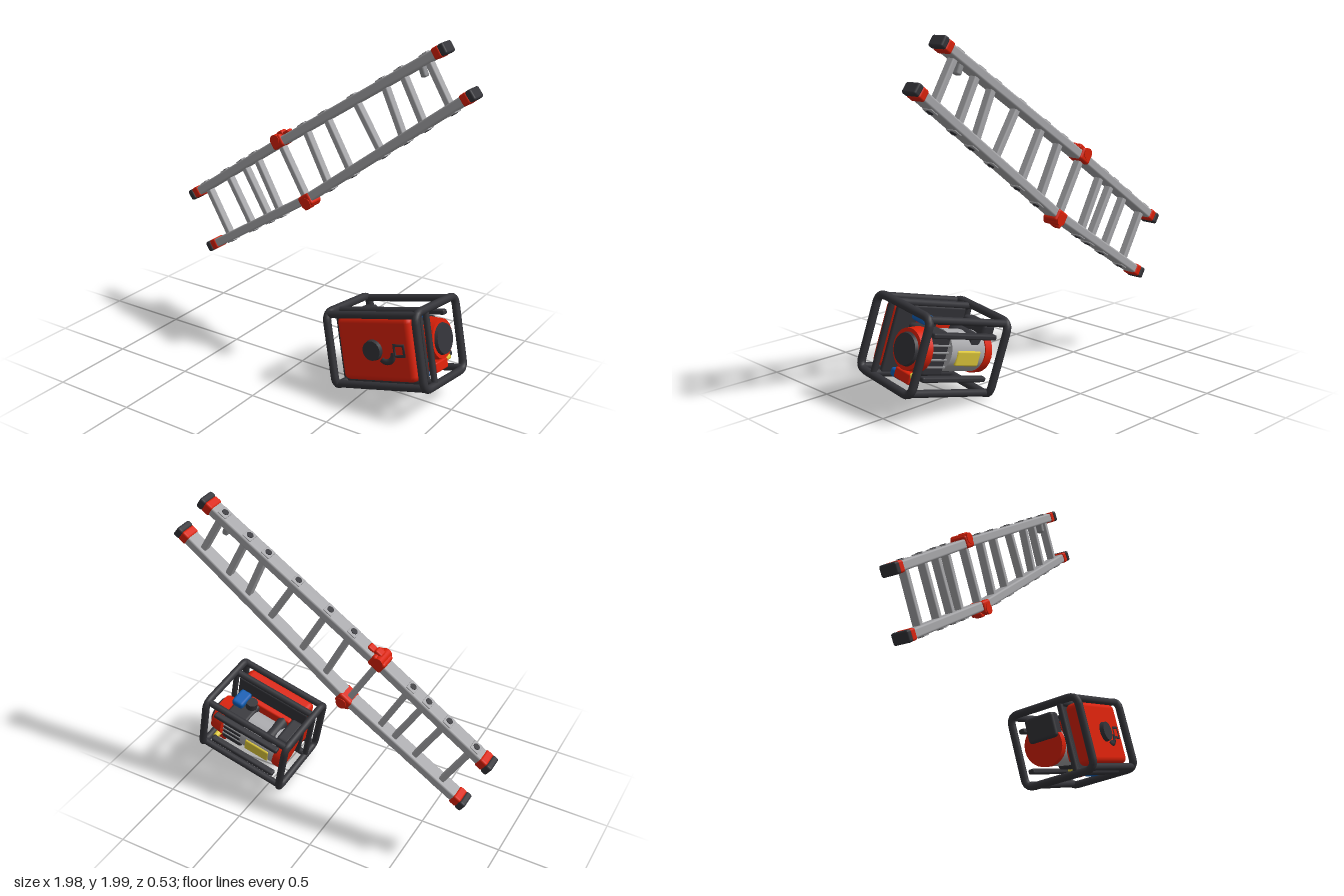
import * as THREE from 'three';
import { RoundedBoxGeometry } from 'three/addons/geometries/RoundedBoxGeometry.js';

const V = (x, y, z = 0) => new THREE.Vector3(x, y, z);
const mat = (name, color) => {
  const m = new THREE.MeshStandardMaterial({ color });
  m.name = name;
  return m;
};

export function createModel() {
  const M = {
    aluminium: mat('aluminium', 0xa6a6a9),
    red: mat('red', 0xd82008),
    dark: mat('dark grey', 0x333338),
    blue: mat('blue', 0x0f5cb0),
    yellow: mat('yellow', 0xdcc63a),
    steel: mat('steel', 0x8c8d90),
  };
  const root = new THREE.Group();

  const add = (parent, name, geo, material, x = 0, y = 0, z = 0) => {
    const m = new THREE.Mesh(geo, material);
    m.name = name;
    m.position.set(x, y, z);
    parent.add(m);
    return m;
  };
  const box = (p, name, m, w, h, d, x, y, z, r = 0.01) =>
    add(p, name, new RoundedBoxGeometry(w, h, d, 2, Math.min(r, w / 2.1, h / 2.1, d / 2.1)), m, x, y, z);
  const cyl = (p, name, m, r, len, x, y, z, axis = 'y', r2 = r) => {
    const c = add(p, name, new THREE.CylinderGeometry(r2, r, len, 24), m, x, y, z);
    if (axis === 'x') c.rotation.z = -Math.PI / 2;
    if (axis === 'z') c.rotation.x = Math.PI / 2;
    return c;
  };
  // Box laid along the line from a to b in the ladder plane
  const beam = (p, name, m, a, b, h, d, r = 0.012) => {
    const c = a.clone().add(b).multiplyScalar(0.5);
    const o = box(p, name, m, a.distanceTo(b), h, d, c.x, c.y, c.z, r);
    o.rotation.z = Math.atan2(b.y - a.y, b.x - a.x);
    return o;
  };

  // ---------- Ladder: two tapering halves joined at hinges ----------
  const ladder = new THREE.Group();
  ladder.name = 'ladder';
  ladder.position.z = -0.213;
  root.add(ladder);
  const upper = [V(-0.98, 0.803), V(-0.295, 1.268), V(0.775, 1.965)];
  const lower = [V(-0.85, 0.48), V(-0.1, 0.955), V(0.948, 1.745)];
  const onRail = (r, x) => {
    const i = x < r[1].x ? 0 : 1;
    return r[i].clone().lerp(r[i + 1], (x - r[i].x) / (r[i + 1].x - r[i].x));
  };
  for (const [rail, side] of [[upper, 1], [lower, -1]]) {
    for (const end of [rail[0], rail[2]]) {
      const dir = rail[1].clone().sub(end).normalize();
      const at = (t) => end.clone().addScaledVector(dir, t);
      beam(ladder, 'rail', M.aluminium, at(0.03), rail[1], 0.055, 0.088);
      beam(ladder, 'endSleeve', M.red, at(0.035), at(0.085), 0.066, 0.098);
      beam(ladder, 'rubberFoot', M.dark, at(0), at(0.04), 0.066, 0.104);
    }
    // Locking hinge with knob and lever
    const hinge = new THREE.Group();
    hinge.name = 'hinge';
    hinge.position.copy(rail[1]);
    hinge.rotation.z = 0.59;
    ladder.add(hinge);
    box(hinge, 'hingeBody', M.red, 0.09, 0.075, 0.104, 0, side * 0.008, 0, 0.015);
    cyl(hinge, 'hingePivot', M.red, 0.032, 0.112, 0, side * 0.024, 0, 'z');
    box(hinge, 'hingeLatch', M.red, 0.05, 0.03, 0.05, side * 0.03, side * 0.045, 0);
    if (side > 0) box(hinge, 'hingeLever', M.red, 0.045, 0.018, 0.045, 0.075, 0.035, 0);
  }
  // Rungs, with end brackets and plugs on the outside of both rails
  const ux = [-0.864, -0.7, -0.575, -0.48, -0.3, -0.123, 0.02, 0.213, 0.395, 0.507, 0.656];
  const lx = [-0.688, -0.517, -0.39, -0.304, -0.112, 0.043, 0.192, 0.389, 0.528, 0.65, 0.805];
  ux.forEach((x, i) => {
    const a = onRail(upper, x), b = onRail(lower, lx[i]);
    beam(ladder, 'rung', M.aluminium, a, b, 0.036, 0.05, 0.008);
    if (i === 4) return;
    for (const [r, p, side] of [[upper, a, 1], [lower, b, -1]]) {
      const s = p.x < r[1].x ? 0 : 1;
      const g = new THREE.Group();
      g.name = 'rungEnd';
      g.position.copy(p);
      g.rotation.z = Math.atan2(r[s + 1].y - r[s].y, r[s + 1].x - r[s].x);
      ladder.add(g);
      box(g, 'bracket', M.aluminium, 0.055, 0.01, 0.07, 0, side * 0.028, 0, 0.003);
      cyl(g, 'plug', M.dark, 0.019, 0.012, 0, side * 0.03, 0);
    }
  });
  const stub = onRail(upper, 0.615);
  beam(ladder, 'hook', M.steel, stub, V(0.645, 1.785), 0.035, 0.045);

  // ---------- Generator lying tilted, tank facing forward ----------
  const gen = new THREE.Group();
  gen.name = 'generator';
  gen.position.set(0.632, 0.313, 0);
  gen.rotation.set(-0.122, 0, 0.253, 'ZYX');
  root.add(gen);

  // Tubular frame: rounded side loops joined by cross bars
  const loopCurve = (hy, hz, r) => {
    const path = new THREE.CurvePath();
    const corners = [[1, 1], [1, -1], [-1, -1], [-1, 1]];
    corners.forEach(([sy, sz], i) => {
      const [py, pz] = corners[(i + 3) % 4], [ny, nz] = corners[(i + 1) % 4];
      const c = V(0, sy * hy, sz * hz);
      const to = (y, z) => c.clone().add(V(0, Math.sign(y - sy) * r, Math.sign(z - sz) * r));
      const end = to(ny, nz);
      path.add(new THREE.QuadraticBezierCurve3(to(py, pz), c, end));
      path.add(new THREE.LineCurve3(end, V(0, ny * hy - Math.sign(ny - sy) * r, nz * hz - Math.sign(nz - sz) * r)));
    });
    return path;
  };
  for (const s of [-1, 1]) {
    add(gen, 'frameLoop', new THREE.TubeGeometry(loopCurve(0.212, 0.222, 0.055), 96, 0.023, 10, true), M.dark, s * 0.288);
    cyl(gen, 'frameUpright', M.dark, 0.018, 0.41, s * 0.285, 0, 0.105);
    for (const z of [-0.2, 0.105, 0.207]) cyl(gen, 'frameBar', M.dark, 0.021, 0.58, 0, s * 0.2, z, 'x');
  }

  // Fuel tank on a dark tray, with cap and hook-shaped marking
  box(gen, 'tankTray', M.dark, 0.5, 0.38, 0.025, 0, 0, 0.095);
  box(gen, 'fuelTank', M.red, 0.475, 0.365, 0.11, 0, 0.006, 0.158, 0.035);
  cyl(gen, 'fuelCap', M.dark, 0.06, 0.03, -0.01, 0.006, 0.222, 'z', 0.055);
  const ring = add(gen, 'tankMark', new THREE.TorusGeometry(0.042, 0.011, 4, 4), M.dark, 0.155, 0.005, 0.214);
  ring.rotation.z = Math.PI / 4;
  ring.scale.z = 0.3;
  const tail = add(gen, 'tankMark', new THREE.TorusGeometry(0.045, 0.017, 4, 12, 2.6), M.dark, 0.07, -0.015, 0.214);
  tail.rotation.z = -2.4;
  tail.scale.z = 0.25;

  // Alternator with red end cover and yellow plate
  cyl(gen, 'alternator', M.aluminium, 0.115, 0.25, -0.08, 0, -0.075, 'x');
  cyl(gen, 'alternatorCover', M.red, 0.122, 0.05, -0.225, 0, -0.075, 'x');
  box(gen, 'yellowPlate', M.yellow, 0.17, 0.085, 0.02, -0.08, -0.01, -0.185);
  box(gen, 'redRail', M.red, 0.3, 0.25, 0.04, -0.02, 0, 0.04);
  for (const y of [-0.12, 0.12]) box(gen, 'mountRail', M.dark, 0.46, 0.03, 0.04, 0, y, -0.2);

  // Exhaust canister and electrical box
  cyl(gen, 'exhaust', M.dark, 0.036, 0.2, -0.125, 0.09, -0.07, 'z');
  box(gen, 'controlBox', M.dark, 0.085, 0.15, 0.19, -0.225, 0.1, -0.06, 0.02);

  // Engine block, cooling fins and pull starter
  box(gen, 'engineBlock', M.dark, 0.15, 0.24, 0.2, 0.12, -0.005, -0.06, 0.02);
  for (let i = 0; i < 4; i++) box(gen, 'fin', M.steel, 0.16, 0.012, 0.21, 0.12, -0.07 + i * 0.04, -0.06, 0.004);
  cyl(gen, 'starterHousing', M.red, 0.122, 0.075, 0.225, 0, -0.075, 'x', 0.112);
  cyl(gen, 'starterCover', M.dark, 0.093, 0.025, 0.268, 0, -0.075, 'x', 0.085);
  box(gen, 'engineFoot', M.red, 0.07, 0.06, 0.13, 0.21, -0.15, -0.07);

  // Blue air filter and carburettor parts
  box(gen, 'airFilter', M.blue, 0.08, 0.05, 0.12, 0.155, 0.155, -0.025, 0.018);
  cyl(gen, 'filterNeck', M.dark, 0.036, 0.06, 0.09, 0.13, -0.01);
  box(gen, 'blueBox', M.blue, 0.13, 0.05, 0.1, 0.13, -0.18, 0.035, 0.015);
  cyl(gen, 'oilCap', M.yellow, 0.018, 0.05, 0.225, -0.13, -0.15, 'z');
  return root;
}
